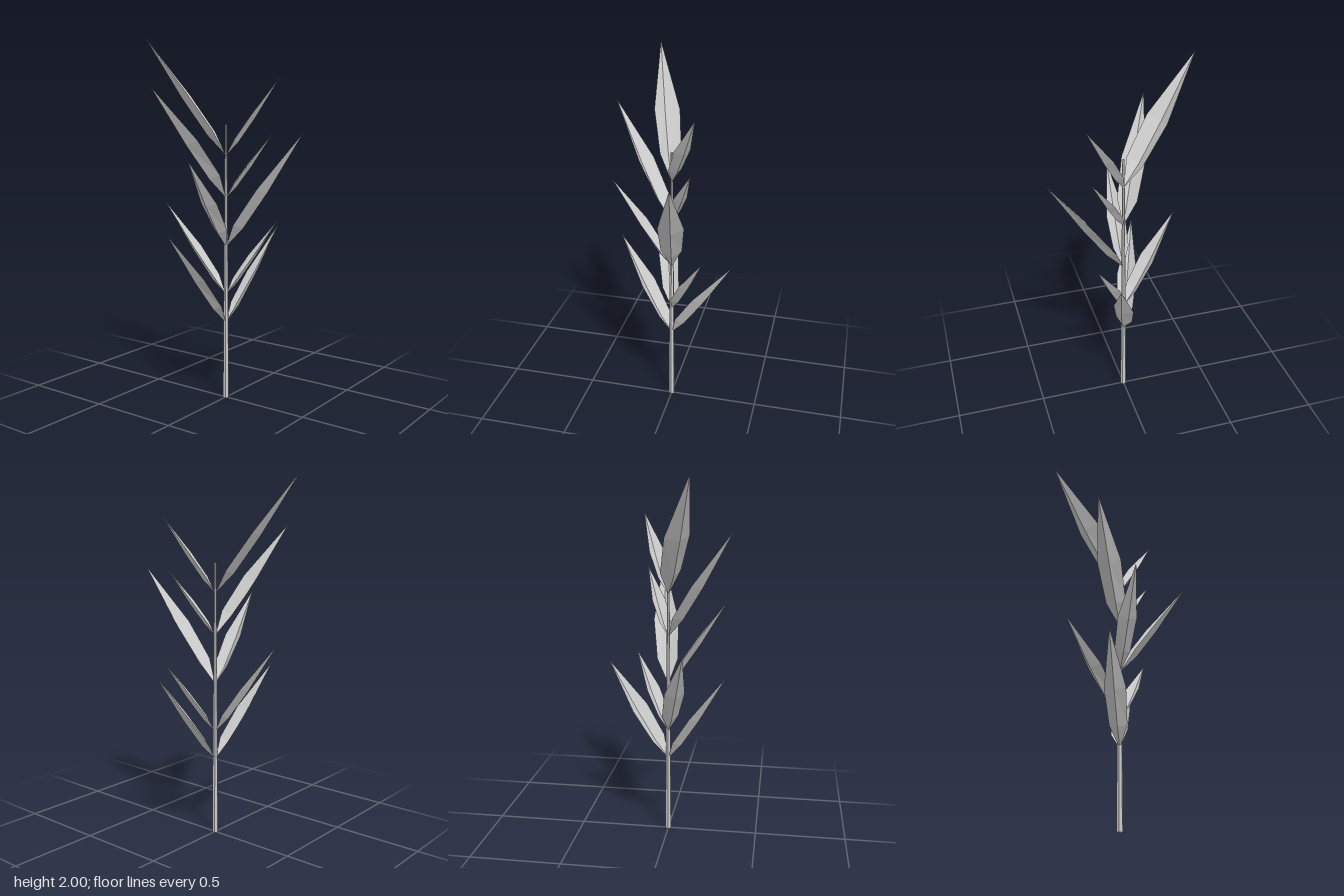
import * as THREE from 'three';

const material = new THREE.MeshStandardMaterial({ color: 0xcccccc, flatShading: true, side: THREE.DoubleSide });

// Folded leaf from a point on the stem to its tip: two creased sections between two points.
function leafGeometry(base, tip, roll) {
  const axis = tip.clone().sub(base);
  const length = axis.length();
  axis.normalize();
  const side = new THREE.Vector3(-axis.z, 0, axis.x).normalize().applyAxisAngle(axis, roll);
  const up = new THREE.Vector3().crossVectors(side, axis);
  if (up.y < 0) up.negate();
  const at = (t, s, n) => base.clone()
    .addScaledVector(axis, t * length)
    .addScaledVector(side, s * length)
    .addScaledVector(up, n * length);
  const section = (t, width, edge, rib) => [at(t, -width, edge), at(t, 0, rib), at(t, width, edge)];
  const low = section(0.19, 0.075, 0.026, -0.028);
  const mid = section(0.5, 0.09, 0.025, -0.028);

  const points = [base, ...low, ...mid, tip];
  const index = [];
  for (let i = 0; i < 2; i++) {
    const a = 1 + i, b = 2 + i, c = 4 + i, d = 5 + i;
    index.push(0, b, a, a, b, d, a, d, c, c, d, 7);
  }
  const geometry = new THREE.BufferGeometry().setFromPoints(points);
  geometry.setIndex(index);
  geometry.computeVertexNormals();
  return geometry;
}

export function createModel() {
  const plant = new THREE.Group();
  plant.name = 'plant';

  // Tapered stem
  const height = 1.525;
  const stem = new THREE.Mesh(new THREE.CylinderGeometry(0.006, 0.018, height, 6), material);
  stem.name = 'stem';
  stem.position.y = height / 2;
  plant.add(stem);

  // Pairs of leaves: height on the stem, then tip x, y, z and roll of each leaf
  const pairs = [
    [0.43, [0.355, 0.955, 0.115, 0.33], [-0.33, 0.955, -0.145, 0]],
    [0.59, [0.21, 1.0, 0.2, 0], [-0.12, 1.1, -0.33, 0]],
    [0.86, [0.09, 1.49, 0.43, 0], [-0.33, 1.35, 0, 0]],
    [1.13, [0.145, 1.485, 0.21, 0], [-0.36, 1.725, -0.22, -0.2]],
    [1.36, [0.17, 1.78, 0.235, 0], [-0.165, 2.0, -0.43, -0.18]],
  ];
  pairs.forEach(([y, ...leaves], i) => {
    const pair = new THREE.Group();
    pair.name = `leafPair${i + 1}`;
    leaves.forEach(([tx, ty, tz, roll], j) => {
      const leaf = new THREE.Mesh(
        leafGeometry(new THREE.Vector3(0, y, 0), new THREE.Vector3(tx, ty, tz), -roll), material);
      leaf.name = j === 0 ? 'leftLeaf' : 'rightLeaf';
      pair.add(leaf);
    });
    plant.add(pair);
  });

  return plant;
}
